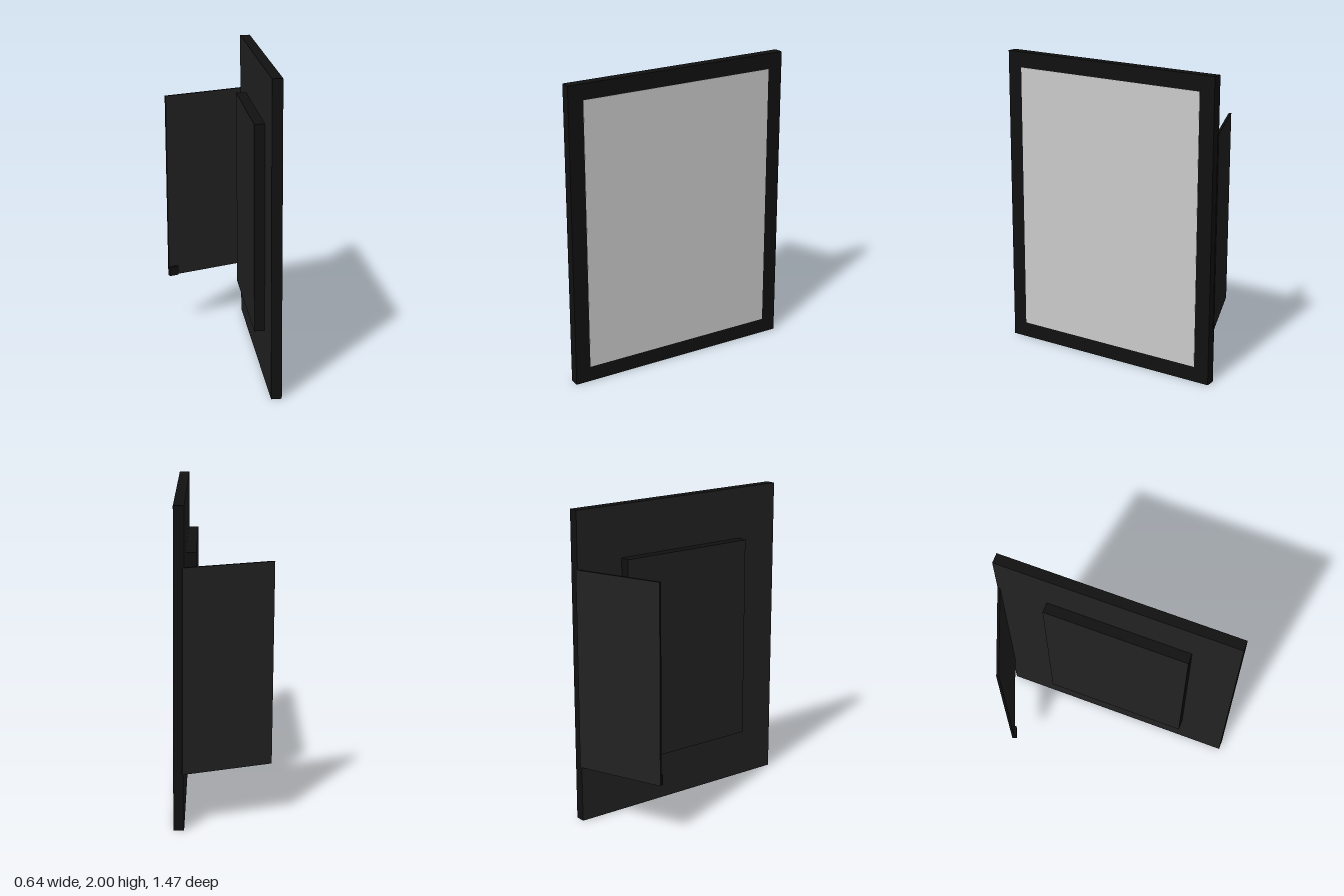
import * as THREE from 'three';

const edgeBlack = new THREE.MeshStandardMaterial({ color: 0x111111 });
const plateBlack = new THREE.MeshStandardMaterial({ color: 0x222222 });
const screenGrey = new THREE.MeshStandardMaterial({ color: 0xcccccc });

// Face order: +x, -x, +y, -y, +z, -z
const backPlate = [edgeBlack, edgeBlack, edgeBlack, edgeBlack, edgeBlack, plateBlack];
const thinPlate = [edgeBlack, edgeBlack, edgeBlack, edgeBlack, plateBlack, plateBlack];

function box(name, size, position, material) {
  const mesh = new THREE.Mesh(new THREE.BoxGeometry(...size), material);
  mesh.name = name;
  mesh.position.set(...position);
  return mesh;
}

export function createModel() {
  const model = new THREE.Group();
  model.name = 'displayPanel';

  // Turned display: local +z is the screen side
  const width = 1.556, depth = 0.066;
  const display = new THREE.Group();
  display.name = 'display';
  display.rotation.y = Math.atan2(0.928, 0.371);
  display.add(
    box('frame', [width, 2, depth], [0, 1, 0], backPlate),
    box('screen', [1.352, 1.795, 0.004], [0, 1, depth / 2], screenGrey),
    box('rearHousing', [0.936, 1.333, depth], [-0.014, 1, -depth], backPlate)
  );
  model.add(display);

  // Thin side flap reaching across the back, with a small catch at its free lower corner
  const flapBottom = 0.363, flapHeight = 1.274;
  model.add(
    box('sideFlap', [0.59, flapHeight, 0.016], [-0.025, flapBottom + flapHeight / 2, -0.727], thinPlate),
    box('flapCatch', [0.064, 0.064, 0.016], [-0.288, flapBottom + 0.032, -0.711], edgeBlack)
  );
  return model;
}
